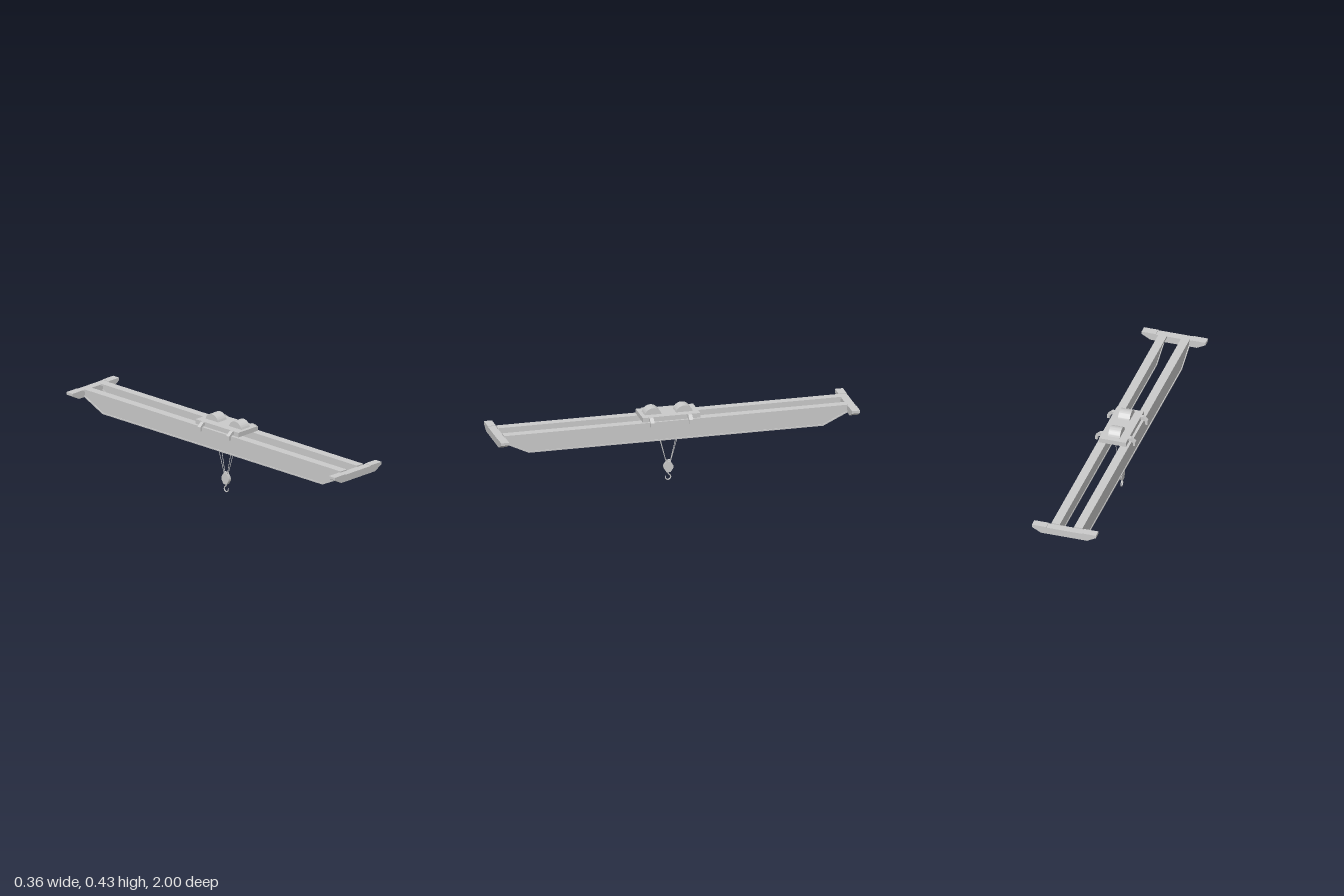
import * as THREE from 'three';
import { toCreasedNormals } from 'three/addons/utils/BufferGeometryUtils.js';

const mat = new THREE.MeshStandardMaterial({ color: 0xcccccc });

function add(parent, name, geometry) {
  const mesh = new THREE.Mesh(geometry, mat);
  mesh.name = name;
  parent.add(mesh);
  return mesh;
}

// Box given by its limits on each axis
function box(x0, x1, y0, y1, z0, z1) {
  return new THREE.BoxGeometry(x1 - x0, y1 - y0, z1 - z0)
    .translate((x0 + x1) / 2, (y0 + y1) / 2, (z0 + z1) / 2);
}

const outline = pts => new THREE.Shape(pts.map(p => new THREE.Vector2(...p)));

// Profile in (x, y), extruded from z0 to z1
function alongZ(shape, z0, z1) {
  return new THREE.ExtrudeGeometry(shape, { depth: z1 - z0, bevelEnabled: false, curveSegments: 20 })
    .translate(0, 0, z0);
}

// Profile in (z, y), extruded from x0 to x1
function alongX(shape, x0, x1) {
  const g = new THREE.ExtrudeGeometry(shape, { depth: x1 - x0, bevelEnabled: false, curveSegments: 20 })
    .rotateY(-Math.PI / 2).translate(x1, 0, 0);
  return toCreasedNormals(g, 0.6);
}

function rod(a, b, r) {
  const p = new THREE.Vector3(...a), q = new THREE.Vector3(...b);
  return new THREE.TubeGeometry(new THREE.LineCurve3(p, q), 1, r, 6);
}

// Main girder: wide top flange, web and bottom flange with raked ends
function girder(side) {
  const g = new THREE.Group();
  g.name = side > 0 ? 'leftGirder' : 'rightGirder';
  const cx = -0.0035;
  const span = (a, b) => [cx + side * a, cx + side * b].sort((p, q) => p - q);
  add(g, 'topFlange', box(...span(0.04, 0.0875), 0.362, 0.373, -0.957, 0.957));
  const web = outline([[-0.957, 0.363], [-0.957, 0.334], [-0.82, 0.268],
    [0.82, 0.268], [0.957, 0.334], [0.957, 0.363]]);
  add(g, 'web', alongX(web, ...span(0.057, 0.083)));
  const flange = outline([[-0.957, 0.338], [-0.957, 0.33], [-0.82, 0.265], [0.82, 0.265],
    [0.957, 0.33], [0.957, 0.338], [0.818, 0.272], [-0.818, 0.272]]);
  add(g, 'bottomFlange', alongX(flange, ...span(0.0535, 0.0875)));
  return g;
}

// End carriage across both girders, with tapered tips
function endCarriage(side) {
  const g = new THREE.Group();
  g.name = side > 0 ? 'frontEndCarriage' : 'backEndCarriage';
  const [z0, z1] = side > 0 ? [0.955, 1] : [-1, -0.955];
  add(g, 'carriageBeam', box(-0.101, 0.101, 0.328, 0.367, z0, z1));
  for (const s of [-1, 1]) {
    const pts = [[0.1, 0.328], [0.131, 0.328], [0.181, 0.355], [0.181, 0.37], [0.1, 0.37]]
      .map(([x, y]) => [x * s, y]);
    add(g, 'carriageTip', alongZ(outline(pts), z0, z1));
  }
  return g;
}

// Trolley with two rope drums and four rail guides
function trolley() {
  const g = new THREE.Group();
  g.name = 'trolley';
  add(g, 'deck', box(-0.077, 0.075, 0.374, 0.4, -0.138, 0.182));
  for (const z of [-0.06, 0.114]) {
    const drum = new THREE.Shape();
    const a = Math.asin(0.008 / 0.048);
    drum.absarc(z, 0.388, 0.048, a, Math.PI - a, false);
    add(g, 'drum', alongX(drum, -0.032, 0.034));
  }
  for (const z of [-0.078, 0.137]) {
    for (const s of [-1, 1]) {
      const pts = [[0.07, 0.4], [0.088, 0.4], [0.113, 0.379], [0.113, 0.355],
        [0.1, 0.355], [0.1, 0.373], [0.088, 0.382], [0.07, 0.382]].map(([x, y]) => [x * s - 0.001, y]);
      add(g, 'railGuide', alongZ(outline(pts), z - 0.011, z + 0.011));
    }
  }
  return g;
}

// Ropes, pulley block and hook
function hoist() {
  const g = new THREE.Group();
  g.name = 'hoist';
  const cx = -0.004, cz = 0.02;
  for (const sx of [-1, 1]) {
    for (const sz of [-1, 1]) {
      add(g, 'rope', rod([cx + sx * 0.019, 0.385, cz + sz * 0.083],
        [cx + sx * 0.003, 0.105, cz + sz * 0.011], 0.0018));
    }
  }
  const half = [[0.011, 0.112], [0.026, 0.088], [0.026, 0.073], [0.011, 0.05]];
  const pts = [...half.map(([z, y]) => [cz + z, y]), ...half.reverse().map(([z, y]) => [cz - z, y])];
  add(g, 'pulleyBlock', alongX(outline(pts), cx - 0.01, cx + 0.01));
  add(g, 'blockCap', box(cx - 0.006, cx + 0.006, 0.11, 0.119, cz - 0.012, cz + 0.012));
  // The hook opens towards the front
  const path = new THREE.CatmullRomCurve3([[0, 0.054], [0, 0.04], [-0.01, 0.031], [-0.014, 0.02],
    [-0.008, 0.009], [0.003, 0.006], [0.013, 0.012], [0.016, 0.022]]
    .map(([z, y]) => new THREE.Vector3(cx, y, cz + z)));
  add(g, 'hook', new THREE.TubeGeometry(path, 28, 0.0033, 8));
  add(g, 'hookTip', new THREE.ConeGeometry(0.0033, 0.008, 8).translate(cx, 0.026, cz + 0.016));
  return g;
}

export function createModel() {
  const model = new THREE.Group();
  model.name = 'overheadCrane';
  for (const s of [-1, 1]) model.add(girder(s), endCarriage(s));
  model.add(trolley(), hoist());
  return model;
}
